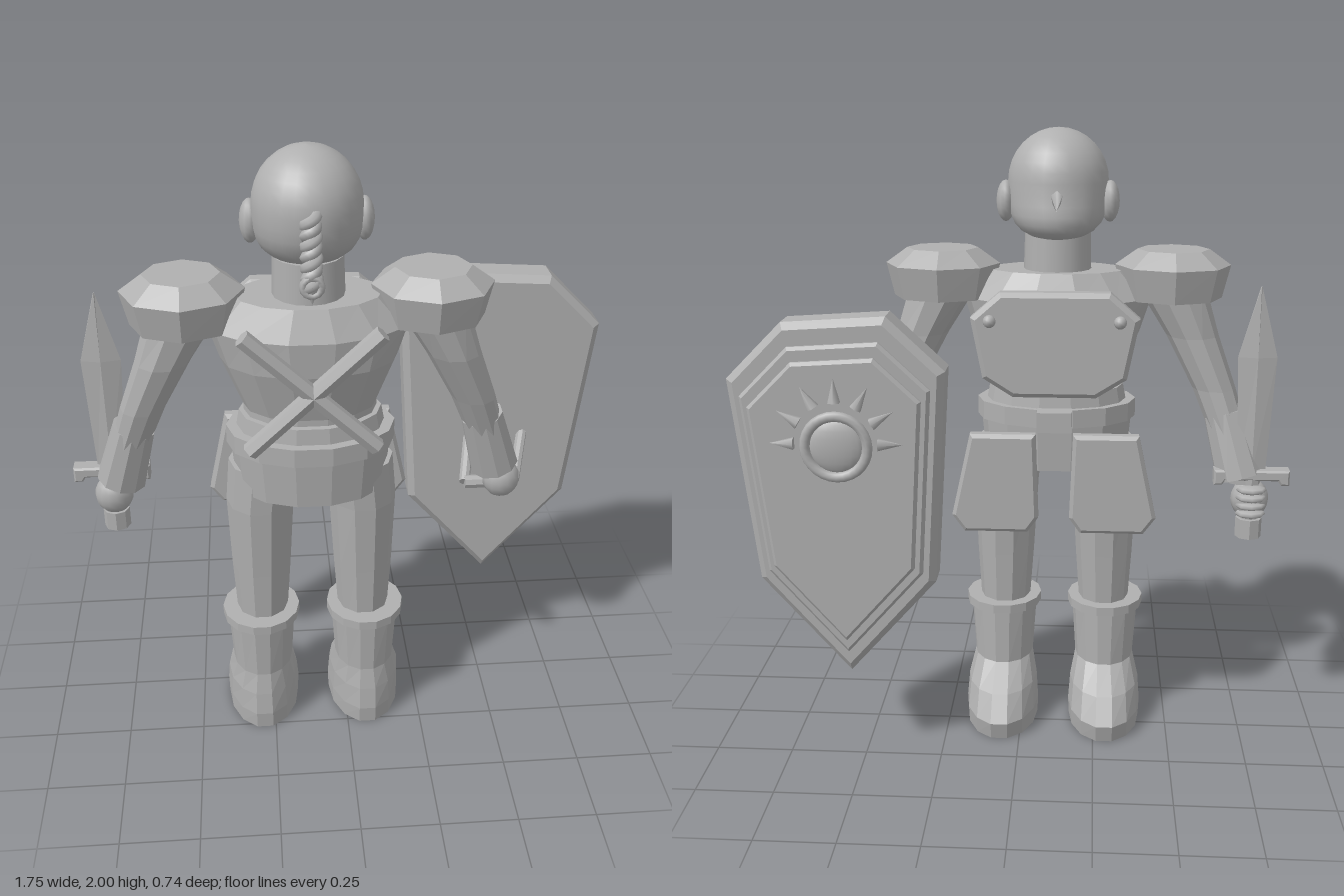
import * as THREE from 'three';

const V = (x, y, z) => new THREE.Vector3(x, y, z);
const stone = new THREE.MeshStandardMaterial({ color: 0xb0b0b0 });
stone.name = 'grey';

// faceted version of a geometry
function flat(geo) {
  const g = geo.index ? geo.toNonIndexed() : geo;
  g.computeVertexNormals();
  return g;
}

function add(parent, name, geo, x = 0, y = 0, z = 0) {
  const m = new THREE.Mesh(geo, stone);
  m.name = name;
  m.position.set(x, y, z);
  parent.add(m);
  return m;
}

// stacked elliptical rings, bottom to top: [y, centreX, centreZ, radiusX, radiusZ]
function loft(rings, n = 12) {
  const pos = [], idx = [];
  for (const [y, cx, cz, rx, rz] of rings)
    for (let i = 0; i < n; i++) {
      const a = (i / n) * Math.PI * 2;
      pos.push(cx + rx * Math.cos(a), y, cz + rz * Math.sin(a));
    }
  const last = rings.length - 1, lo = rings.length * n, hi = lo + 1;
  for (const r of [rings[0], rings[last]]) pos.push(r[1], r[0], r[2]);
  for (let i = 0; i < n; i++) {
    const j = (i + 1) % n;
    for (let k = 0; k < last; k++) {
      const a = k * n + i, b = k * n + j;
      idx.push(a, a + n, b, b, a + n, b + n);
    }
    idx.push(lo, i, j, hi, last * n + j, last * n + i);
  }
  const g = new THREE.BufferGeometry();
  g.setAttribute('position', new THREE.Float32BufferAttribute(pos, 3));
  g.setIndex(idx);
  return flat(g);
}

// tapered cylinder from a to b
function limb(parent, name, a, b, ra, rb, n = 8) {
  const d = b.clone().sub(a);
  const m = add(parent, name, flat(new THREE.CylinderGeometry(rb, ra, d.length(), n)));
  m.position.copy(a).addScaledVector(d, 0.5);
  m.quaternion.setFromUnitVectors(V(0, 1, 0), d.normalize());
  return m;
}

// bevelled slab between two z planes
function plate(parent, name, pts, z0, z1, bevel) {
  const shape = new THREE.Shape(pts.map(p => new THREE.Vector2(p[0], p[1])));
  const g = new THREE.ExtrudeGeometry(shape, {
    depth: z1 - z0 - 2 * bevel, bevelEnabled: true, bevelThickness: bevel,
    bevelSize: bevel, bevelOffset: -bevel, bevelSegments: 1,
  });
  return add(parent, name, flat(g), 0, 0, z0 + bevel);
}

function buildHead(body) {
  // skull with a fuller, forward jaw
  const g = new THREE.SphereGeometry(1, 24, 16);
  const p = g.attributes.position;
  for (let i = 0; i < p.count; i++) {
    const t = p.getY(i), k = t < 0 ? t * t : 0;
    p.setXYZ(i, p.getX(i) * 0.16 * (1 + 0.45 * k), t * (t < 0 ? 0.18 : 0.165),
      p.getZ(i) * 0.168 * (1 + 0.6 * k) - 0.05 * k);
  }
  g.computeVertexNormals();
  add(body, 'head', g, 0, 1.835, 0.15);
  add(body, 'neck', new THREE.CylinderGeometry(0.105, 0.11, 0.16, 16), 0, 1.6, 0.14);
  const nose = add(body, 'nose', new THREE.ConeGeometry(0.03, 0.09, 6), 0, 1.785, -0.025);
  nose.rotation.x = -2.2;
  for (const s of [-1, 1])
    add(body, 'ear', new THREE.SphereGeometry(1, 12, 10), s * 0.165, 1.775, 0.12).scale.set(0.03, 0.065, 0.048);

  // braid of two twisted strands
  for (const phase of [0, Math.PI]) {
    const pts = [];
    for (let i = 0; i <= 40; i++) {
      const t = i / 40, a = t * Math.PI * 7 + phase;
      pts.push(V(0.016 * Math.cos(a), 1.85 - 0.2 * t, 0.305 + 0.038 * t + 0.016 * Math.sin(a)));
    }
    add(body, 'braid', new THREE.TubeGeometry(new THREE.CatmullRomCurve3(pts), 60, 0.017, 6));
  }
  add(body, 'braidRing', new THREE.TorusGeometry(0.026, 0.011, 6, 14), 0, 1.66, 0.355);
  add(body, 'braidTip', new THREE.ConeGeometry(0.024, 0.06, 8), 0, 1.635, 0.348).rotation.x = Math.PI;
}

function buildTorso(body) {
  add(body, 'torso', loft([
    [1.15, 0, 0.14, 0.205, 0.135], [1.2, 0, 0.14, 0.205, 0.135], [1.36, 0, 0.14, 0.27, 0.18],
    [1.47, 0, 0.14, 0.305, 0.185], [1.56, 0, 0.14, 0.22, 0.14]], 14));
  add(body, 'waist', loft([[1.1, 0, 0.14, 0.235, 0.165], [1.18, 0, 0.14, 0.22, 0.155]], 14));
  add(body, 'belt', loft([[1.07, 0, 0.145, 0.262, 0.185], [1.13, 0, 0.145, 0.262, 0.185]], 14));
  add(body, 'hips', loft([[0.92, 0, 0.145, 0.235, 0.168], [1.08, 0, 0.145, 0.25, 0.178]], 14));
  add(body, 'buckle', new THREE.BoxGeometry(0.11, 0.065, 0.06), 0, 1.105, -0.07);

  // breastplate with rivets
  plate(body, 'breastplate', [[-0.13, 1.19], [0.13, 1.19], [0.225, 1.25], [0.262, 1.44],
    [0.17, 1.52], [-0.17, 1.52], [-0.262, 1.44], [-0.225, 1.25]], -0.12, -0.055, 0.015);
  for (const s of [-1, 1]) {
    add(body, 'rivet', new THREE.SphereGeometry(0.02, 10, 8), s * 0.2, 1.435, -0.135);
    // hip guard
    const pts = [[0.05, 0.78], [0.085, 0.73], [0.29, 0.73], [0.33, 0.785], [0.27, 1.06], [0.06, 1.06]];
    plate(body, 'hipGuard', pts.map(q => [s * q[0], q[1]]), -0.09, -0.04, 0.012);
    // crossed bars on the back
    limb(body, 'backBar', V(s * 0.19, 1.135, 0.33), V(-s * 0.2, 1.51, 0.345), 0.027, 0.027, 6);
  }
}

function buildLimbs(body) {
  for (const s of [-1, 1]) {
    // shoulder pad
    add(body, 'shoulderPad', loft([[1.47, s * 0.37, 0.13, 0.16, 0.15], [1.575, s * 0.37, 0.13, 0.185, 0.172],
      [1.625, s * 0.37, 0.13, 0.115, 0.11]], 8));
    // arm, cuff and hand
    add(body, 'arm', loft([[0.88, s * 0.61, 0.04, 0.05, 0.05], [1.04, s * 0.565, 0.07, 0.062, 0.068],
      [1.18, s * 0.515, 0.1, 0.07, 0.078], [1.35, s * 0.44, 0.125, 0.085, 0.095],
      [1.5, s * 0.37, 0.13, 0.11, 0.105]], 10));
    limb(body, 'cuff', V(s * 0.608, 0.895, 0.045), V(s * 0.55, 1.1, 0.08), 0.08, 0.068, 10);
    add(body, 'hand', new THREE.SphereGeometry(1, 14, 10), s * 0.64, 0.825, 0.025).scale.set(0.062, 0.068, 0.055);
    for (let i = 0; i < 4; i++) {
      const f = add(body, 'finger', new THREE.SphereGeometry(1, 8, 6), s * 0.64, 0.785 + i * 0.027, -0.01);
      f.scale.set(0.05, 0.015, 0.04);
    }
    // leg
    add(body, 'leg', loft([[0.35, s * 0.17, 0.125, 0.08, 0.085], [0.6, s * 0.168, 0.125, 0.096, 0.1],
      [0.85, s * 0.165, 0.125, 0.108, 0.118], [1, s * 0.15, 0.13, 0.11, 0.12]], 10));
    // boot, toe pointing to -z
    add(body, 'boot', loft([[0, s * 0.177, 0.065, 0.122, 0.205], [0.06, s * 0.177, 0.06, 0.124, 0.215],
      [0.14, s * 0.177, 0.085, 0.118, 0.18], [0.215, s * 0.175, 0.125, 0.1, 0.125],
      [0.4, s * 0.175, 0.13, 0.112, 0.128]], 14));
    add(body, 'bootCuff', loft([[0.4, s * 0.175, 0.132, 0.128, 0.137], [0.43, s * 0.175, 0.132, 0.128, 0.137]], 14));
  }
}

function buildSword(root) {
  const g = new THREE.Group();
  g.name = 'sword';
  g.position.set(-0.75, 0, 0.015);
  root.add(g);
  // diamond-section blade
  add(g, 'blade', loft([[0.92, 0, 0, 0.045, 0.014], [1.3, 0, 0, 0.062, 0.014], [1.525, 0, 0, 0.002, 0.002]], 4));
  plate(g, 'guard', [[-0.122, 0.88], [-0.095, 0.88], [-0.085, 0.895], [0.085, 0.895], [0.095, 0.88], [0.122, 0.88],
    [0.122, 0.93], [-0.122, 0.93]], -0.028, 0.028, 0.006);
  add(g, 'grip', flat(new THREE.CylinderGeometry(0.03, 0.03, 0.2, 8)), 0, 0.8, 0);
  add(g, 'pommel', flat(new THREE.CylinderGeometry(0.043, 0.043, 0.065, 8)), 0, 0.73, 0);
}

function buildShield(root) {
  const g = new THREE.Group();
  g.name = 'shield';
  root.add(g);
  const outline = [[0.53, 0.32], [0.805, 0.635], [0.875, 1.28], [0.7, 1.455], [0.385, 1.475], [0.21, 1.31], [0.25, 0.635]];
  const scaled = k => outline.map(([x, y]) => [0.54 + (x - 0.54) * k, 0.92 + (y - 0.92) * k]);
  plate(g, 'shieldBody', outline, -0.3, -0.165, 0.022);
  plate(g, 'shieldRim', scaled(0.87), -0.318, -0.28, 0.01);
  plate(g, 'shieldPanel', scaled(0.79), -0.336, -0.3, 0.01);
  // round boss with a fan of spikes
  const cx = 0.535, cy = 1.09, z = -0.345;
  add(g, 'bossRing', new THREE.TorusGeometry(0.095, 0.016, 8, 28), cx, cy, z);
  add(g, 'boss', new THREE.SphereGeometry(1, 20, 10), cx, cy, -0.335).scale.set(0.085, 0.085, 0.025);
  for (let i = 0; i < 7; i++) {
    const a = (i / 6) * Math.PI;
    const c = add(g, 'spike', new THREE.ConeGeometry(0.02, 0.075, 6),
      cx + 0.165 * Math.cos(a), cy + 0.01 + 0.165 * Math.sin(a), z);
    c.rotation.z = a - Math.PI / 2;
  }
  // handle
  const a = V(0.415, 0.79, -0.01), b = V(0.585, 0.79, -0.01);
  limb(g, 'handleGrip', a, b, 0.023, 0.023);
  limb(g, 'handleArm', a, V(0.455, 0.885, -0.18), 0.018, 0.018);
  limb(g, 'handleArm', b, V(0.64, 0.885, -0.18), 0.018, 0.018);
}

export function createModel() {
  const root = new THREE.Group();
  root.name = 'knight';
  const body = new THREE.Group();
  body.name = 'body';
  body.position.x = -0.11;
  root.add(body);
  buildHead(body);
  buildTorso(body);
  buildLimbs(body);
  buildSword(root);
  buildShield(root);
  return root;
}
